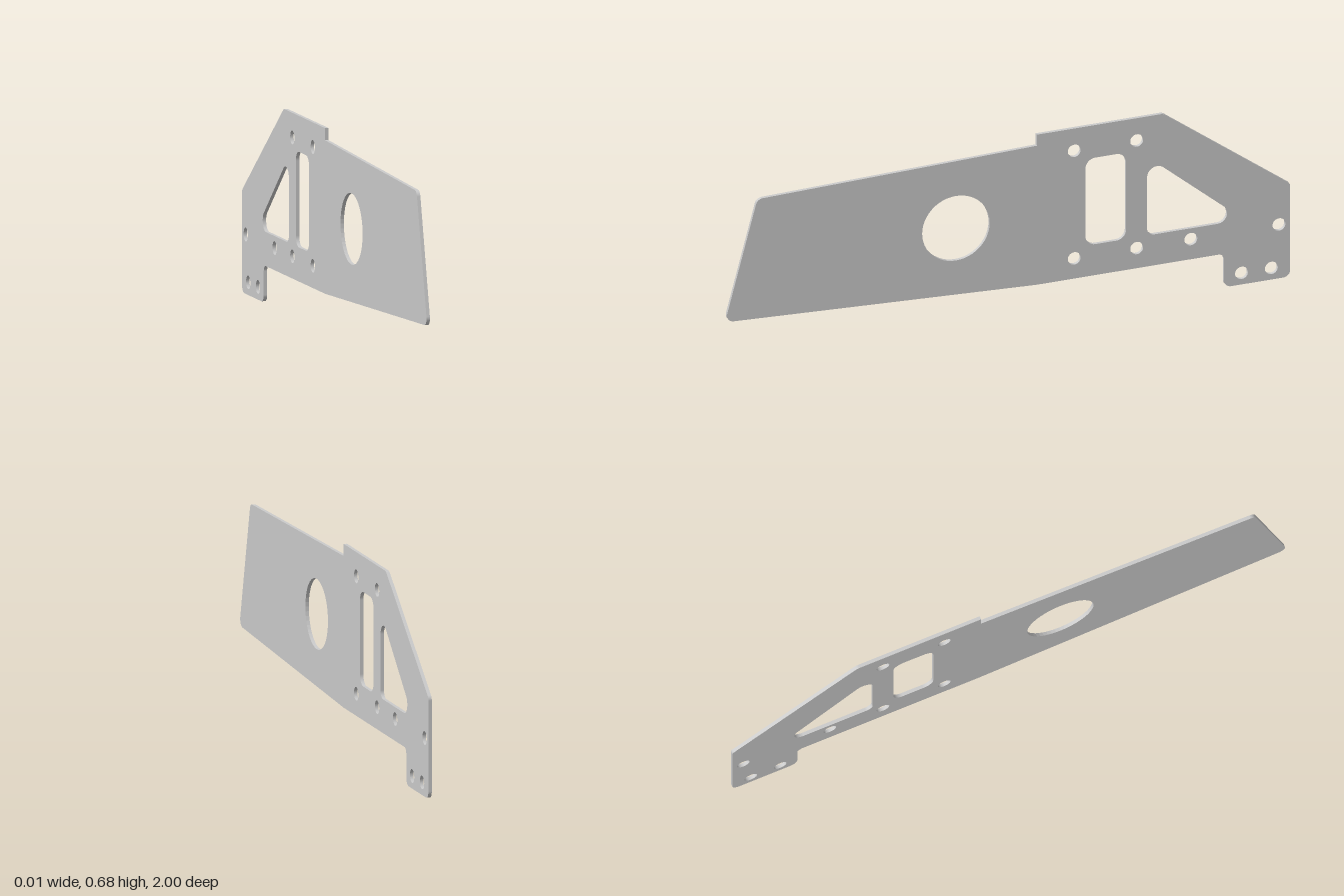
import * as THREE from 'three';

const THICKNESS = 0.012;

// Trace a closed polygon of [x, y, radius] corners, rounding each with a tangent arc.
function roundedPath(path, corners) {
  const n = corners.length;
  corners.forEach(([x, y, r], i) => {
    const p = new THREE.Vector2(x, y);
    const toPrev = new THREE.Vector2(...corners[(i + n - 1) % n]).sub(p).normalize();
    const toNext = new THREE.Vector2(...corners[(i + 1) % n]).sub(p).normalize();
    if (!r) {
      if (i === 0) path.moveTo(x, y);
      else path.lineTo(x, y);
      return;
    }
    const half = Math.acos(toPrev.dot(toNext)) / 2;
    const cut = r / Math.tan(half);
    const a = p.clone().addScaledVector(toPrev, cut);
    const b = p.clone().addScaledVector(toNext, cut);
    const c = toPrev.clone().add(toNext).normalize().multiplyScalar(r / Math.sin(half)).add(p);
    const clockwise = toPrev.cross(toNext) > 0;
    if (i === 0) path.moveTo(a.x, a.y);
    else path.lineTo(a.x, a.y);
    path.absarc(c.x, c.y, r, Math.atan2(a.y - c.y, a.x - c.x), Math.atan2(b.y - c.y, b.x - c.x), clockwise);
  });
  path.closePath();
  return path;
}

function circle(x, y, r) {
  return new THREE.Path().absarc(x, y, r, 0, Math.PI * 2, true);
}

export function createModel() {
  const group = new THREE.Group();
  group.name = 'sidePlate';

  // Outline in profile: shape x runs toward the back (-z)
  const outline = roundedPath(new THREE.Shape(), [
    [0.10, 0.125, 0],
    [0.765, 0.125, 0.02],
    [0.765, 0, 0.025],
    [1, 0, 0.025],
    [1, 0.345, 0.02],
    [0.548, 0.683, 0.025],
    [0.10, 0.683, 0],
    [0.10, 0.642, 0],
    [-0.892, 0.615, 0.025],
    [-1.007, 0.177, 0.025],
  ]);

  // Large round opening
  outline.holes.push(circle(-0.187, 0.385, 0.12));

  // Upright slot and triangular window
  outline.holes.push(roundedPath(new THREE.Path(), [
    [0.273, 0.24, 0.035], [0.273, 0.562, 0.035], [0.417, 0.562, 0.035], [0.417, 0.24, 0.035],
  ]));
  outline.holes.push(roundedPath(new THREE.Path(), [
    [0.492, 0.24, 0.025], [0.492, 0.533, 0.035], [0.836, 0.24, 0.035],
  ]));

  // Bolt holes
  for (const [x, y] of [
    [0.233, 0.60], [0.455, 0.60], [0.233, 0.20], [0.455, 0.20],
    [0.647, 0.20], [0.96, 0.20], [0.827, 0.043], [0.933, 0.043],
  ]) outline.holes.push(circle(x, y, 0.023));

  const geometry = new THREE.ExtrudeGeometry(outline, {
    depth: THICKNESS, bevelEnabled: false, curveSegments: 24,
  });
  geometry.translate(0, 0, -THICKNESS / 2);
  geometry.rotateY(Math.PI / 2);

  const plate = new THREE.Mesh(geometry, new THREE.MeshStandardMaterial({ color: 0xcccccc }));
  plate.name = 'plate';
  group.add(plate);
  return group;
}
